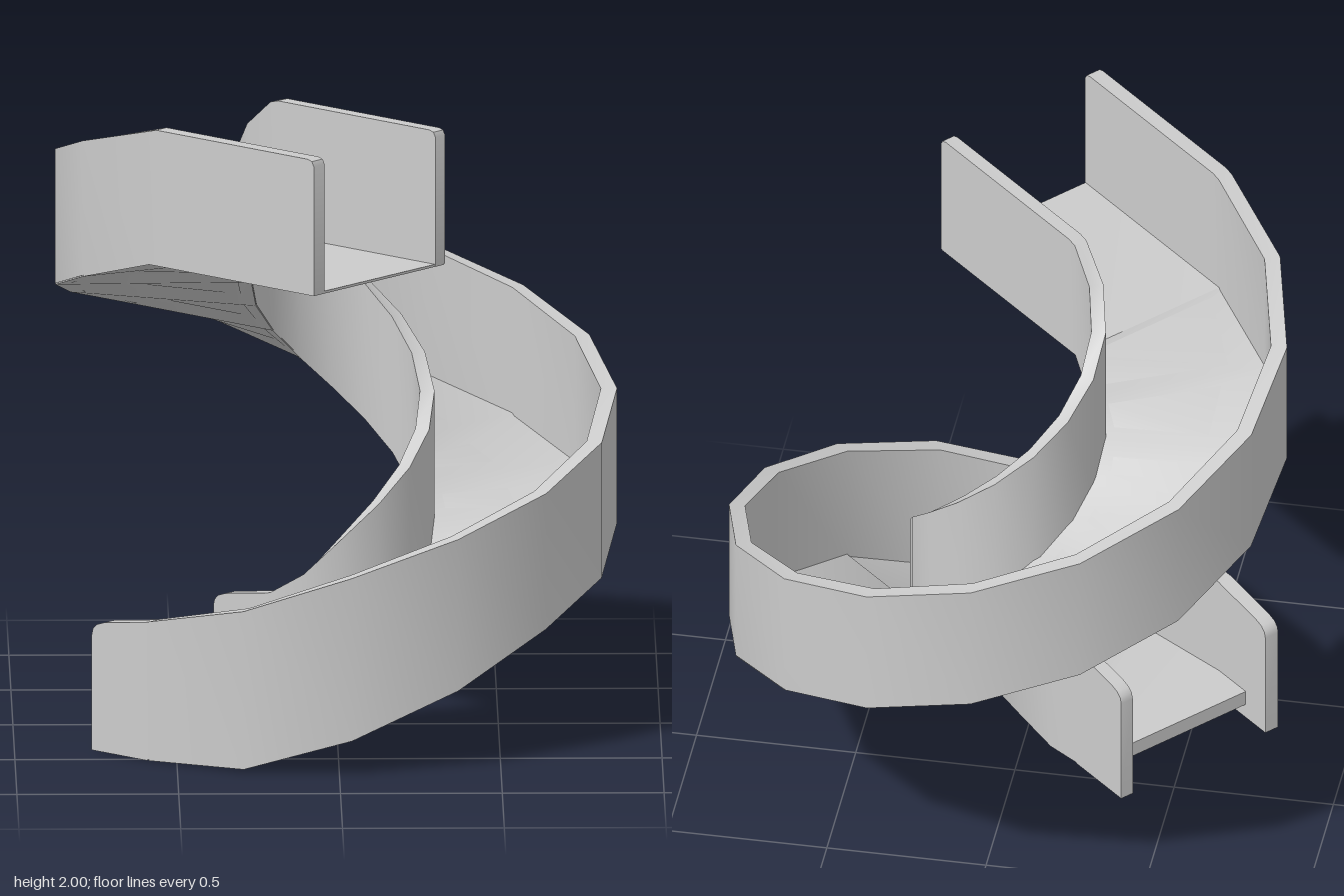
import * as THREE from 'three';
import { toCreasedNormals } from 'three/addons/utils/BufferGeometryUtils.js';

const STEPS = 16;                                   // one full turn
const START = THREE.MathUtils.degToRad(-137.6);
const CENTER_Z = -0.12;
const TOP_RUN = 0.683, EXIT_RUN = 0.236;            // straight ends

// A station lies at a step of the turn, shifted along the local tangent.
const station = (step, shift, low, high) => ({ step, shift, low, high });

function place({ step, shift }, r, y) {
  const a = START + (step / STEPS) * Math.PI * 2;
  return [
    Math.sin(a) * r + Math.cos(a) * shift,
    y,
    CENTER_Z - Math.cos(a) * r + Math.sin(a) * shift,
  ];
}

// Sweep a rectangle (r0..r1 by low..high) through the stations, closing both ends.
function sweep(name, stations, r0, r1, material) {
  const pos = [], idx = [];
  for (const s of stations) {
    pos.push(...place(s, r0, s.low), ...place(s, r1, s.low),
      ...place(s, r1, s.high), ...place(s, r0, s.high));
  }
  for (let i = 0; i < stations.length - 1; i++) {
    for (let j = 0; j < 4; j++) {
      const a = i * 4 + j, b = i * 4 + (j + 1) % 4;
      idx.push(a, b, b + 4, a, b + 4, a + 4);
    }
  }
  const e = (stations.length - 1) * 4;
  idx.push(0, 2, 1, 0, 3, 2, e, e + 1, e + 2, e, e + 2, e + 3);
  const g = new THREE.BufferGeometry();
  g.setAttribute('position', new THREE.Float32BufferAttribute(pos, 3));
  g.setIndex(idx);
  const mesh = new THREE.Mesh(toCreasedNormals(g, 0.7), material);
  mesh.name = name;
  return mesh;
}

export function createModel() {
  const group = new THREE.Group();
  group.name = 'spiralSlide';
  const material = new THREE.MeshStandardMaterial({ color: 0xcccccc, side: THREE.DoubleSide });

  // Steady descent that flattens out over the last steps
  const lowEnd = [0.25, 0.11, 0.01, 0];
  const highEnd = [0.73, 0.625, 0.51, 0.44];
  const floorEnd = [0.285, 0.18, 0.12, 0.1];
  const low = k => (k < 13 ? 1.57 - 0.0975 * k : lowEnd[k - 13]);
  const high = k => (k < 13 ? 2 - 0.0975 * k : highEnd[k - 13]);
  const floorTop = k => (k < 13 ? low(k) + Math.min(0.033, 0.008 + 0.01 * k) : floorEnd[k - 13]);
  const turn = Array.from({ length: STEPS + 1 }, (_, k) => k);

  // Side walls, with softened corners at both ends; their feet sit in the floor
  const wall = [
    station(0, -TOP_RUN, 1.574, 1.98),
    station(0, -TOP_RUN + 0.008, 1.574, 1.995),
    station(0, -TOP_RUN + 0.025, 1.574, 2),
    station(0, -0.03, 1.574, 2),
    ...turn.map(k => station(k, 0, low(k) + 0.004, Math.min(high(k), 1.992))),
    station(STEPS, 0.01, 0, 0.437),
    station(STEPS, EXIT_RUN - 0.05, 0, 0.41),
    station(STEPS, EXIT_RUN - 0.02, 0, 0.4),
    station(STEPS, EXIT_RUN - 0.005, 0, 0.385),
    station(STEPS, EXIT_RUN, 0, 0.365),
  ];
  group.add(sweep('outerWall', wall, 0.82, 0.87, material));
  group.add(sweep('innerWall', wall, 0.26, 0.305, material));

  // Chute floor, its underside running below both walls
  const floor = [
    station(0, -TOP_RUN + 0.002, 1.57, 1.578),
    ...turn.map(k => station(k, 0, low(k), floorTop(k))),
  ];
  group.add(sweep('chuteFloor', floor, 0.262, 0.868, material));

  // Raised exit step, set back from the ends of the walls
  const exitStep = [station(STEPS, -0.01, 0.05, 0.1), station(STEPS, EXIT_RUN - 0.1, 0.05, 0.1)];
  group.add(sweep('exitStep', exitStep, 0.28, 0.85, material));

  return group;
}
